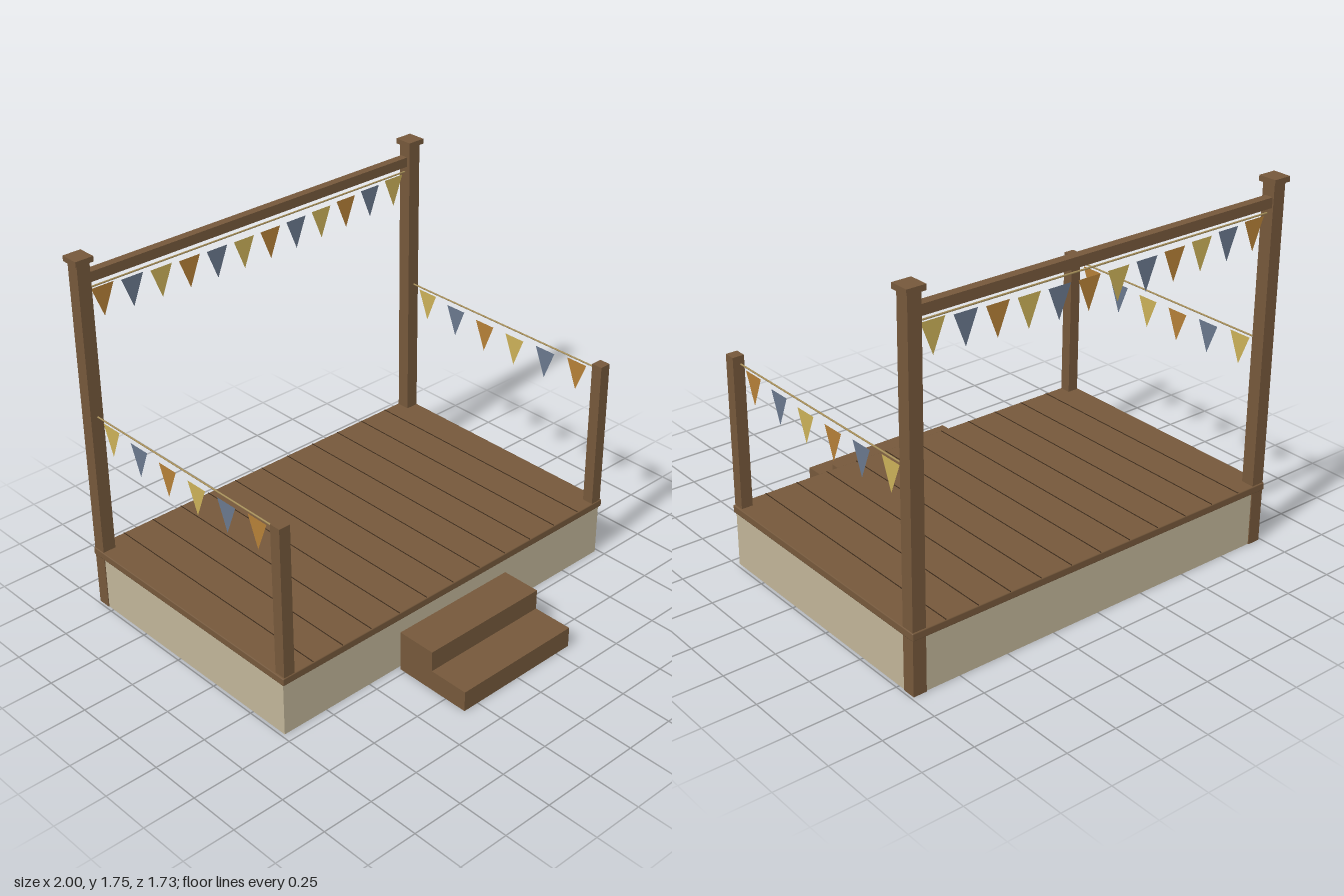
import * as THREE from 'three';
import { RoundedBoxGeometry } from 'three/addons/geometries/RoundedBoxGeometry.js';

const material = (name, color, side = THREE.FrontSide) => {
  const m = new THREE.MeshStandardMaterial({ color, side });
  m.name = name;
  return m;
};

export function createModel() {
  const wood = material('wood', 0x75583b);
  const seamWood = material('dark seam', 0x3e2c1c);
  const plinth = material('beige plinth', 0xc0b498);
  const rope = material('rope', 0xa8905a);
  const flagColors = [
    material('orange cloth', 0xb47f37, THREE.DoubleSide),
    material('blue cloth', 0x69778c, THREE.DoubleSide),
    material('yellow cloth', 0xcab058, THREE.DoubleSide),
  ];

  const model = new THREE.Group();
  model.name = 'stage';

  const add = (name, geometry, mat, x, y, z, parent = model) => {
    const mesh = new THREE.Mesh(geometry, mat);
    mesh.name = name;
    mesh.position.set(x, y, z);
    parent.add(mesh);
    return mesh;
  };
  // Box given by its lower and upper corners
  const box = (name, mat, [x0, y0, z0], [x1, y1, z1]) =>
    add(name, new THREE.BoxGeometry(x1 - x0, y1 - y0, z1 - z0), mat,
      (x0 + x1) / 2, (y0 + y1) / 2, (z0 + z1) / 2);

  // Plinth and the deck on top of it
  box('plinth', plinth, [-0.984, 0, -0.845], [0.984, 0.27, 0.454]);
  add('deck', new RoundedBoxGeometry(1.984, 0.037, 1.322, 1, 0.005), wood, 0, 0.2815, -0.195);

  // Raised seams between twelve boards
  for (let i = 1; i < 12; i++) {
    const x = -0.99 + i * 0.165;
    box('boardSeam', seamWood, [x - 0.0015, 0.298, -0.853], [x + 0.0015, 0.303, 0.462]);
  }

  // Steps at the front
  box('upperStep', wood, [-0.33, 0, 0.469], [0.33, 0.2, 0.664]);
  box('lowerStep', wood, [-0.33, 0, 0.664], [0.33, 0.1, 0.863]);

  // Posts: tall capped ones at the back, short ones at the front
  for (const side of [-1, 1]) {
    const x = side * 0.955;
    box('backPost', wood, [x - 0.0325, 0, -0.85], [x + 0.0325, 1.735, -0.785]);
    box('postCap', wood, [x - 0.045, 1.73, -0.863], [x + 0.045, 1.755, -0.772]);
    box('frontPost', wood, [x - 0.028, 0.295, 0.407], [x + 0.028, 1.03, 0.462]);
  }
  box('topBeam', wood, [-0.925, 1.625, -0.844], [0.925, 1.672, -0.802]);

  // Pennant shape hanging down from its top edge
  const pennant = new THREE.ShapeGeometry(new THREE.Shape([
    new THREE.Vector2(-0.058, 0),
    new THREE.Vector2(0, -0.145),
    new THREE.Vector2(0.058, 0),
  ]));

  // Bunting runs along its own x axis; flags dip towards the middle
  const bunting = (name, length, count) => {
    const group = new THREE.Group();
    group.name = name;
    const cord = add('cord', new THREE.CylinderGeometry(0.004, 0.004, length, 6), rope, 0, 0, 0, group);
    cord.rotation.z = Math.PI / 2;
    for (let i = 0; i < count; i++) {
      const t = (i + 0.5) / count;
      const y = -0.006 - 0.033 * Math.sin(Math.PI * t);
      add('pennant', pennant, flagColors[i % 3], (t - 0.5) * length, y, 0, group);
    }
    model.add(group);
    return group;
  };

  bunting('backBunting', 1.85, 12).position.set(0, 1.596, -0.817);
  for (const side of [-1, 1]) {
    const line = bunting(side < 0 ? 'rightBunting' : 'leftBunting', 1.17, 6);
    line.position.set(side * 0.955, 1.0, -0.195);
    line.rotation.y = Math.PI / 2;
  }

  return model;
}
